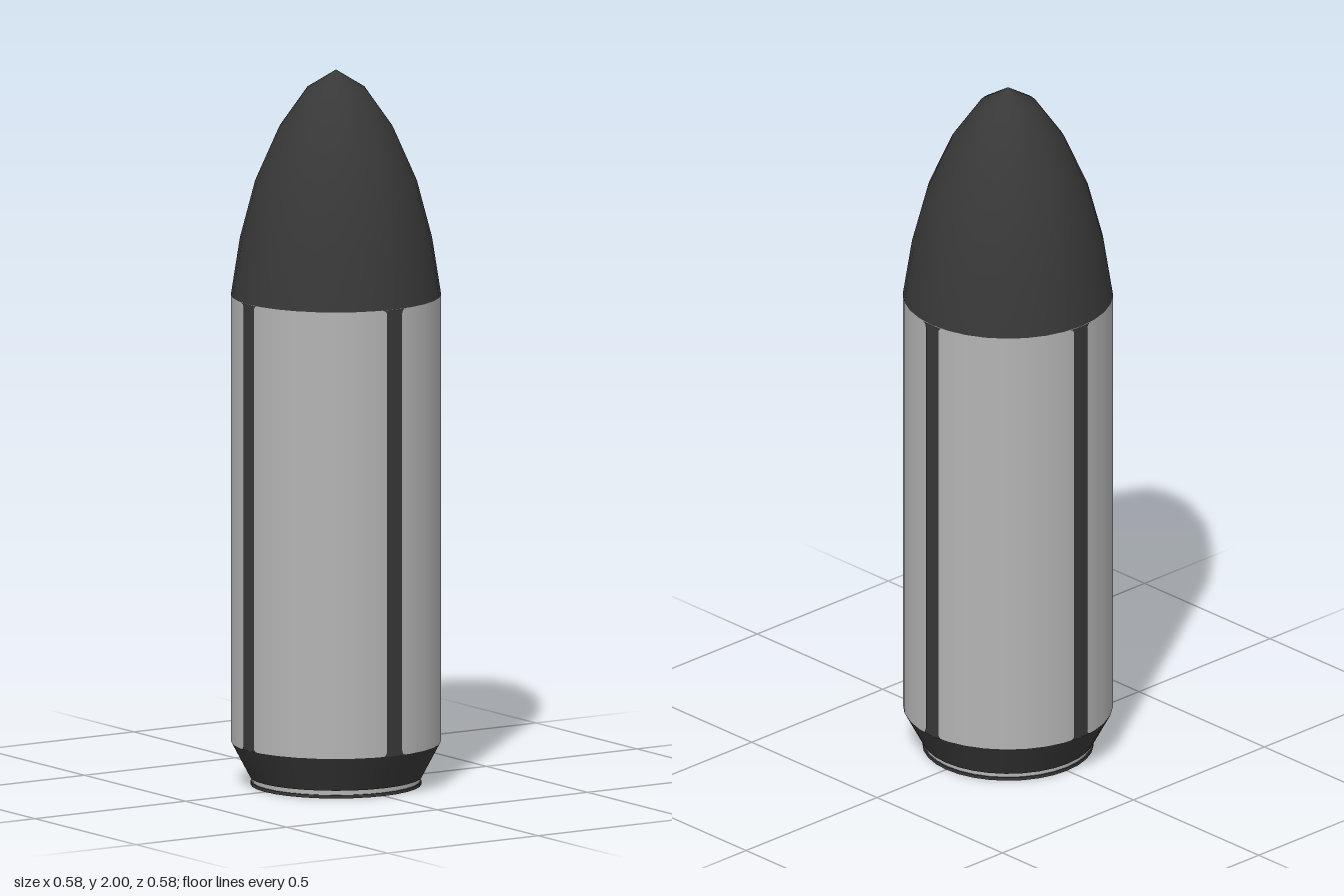
import * as THREE from 'three';
import { mergeGeometries } from 'three/addons/utils/BufferGeometryUtils.js';

const SIDES = 32;
const R = 0.29;
const BODY_LOW = 0.12;
const BODY_TOP = 1.37;

// Smooth turned surface; profile points are [radius, height], bottom to top
function turned(points) {
  return new THREE.LatheGeometry(points.map(([r, y]) => new THREE.Vector2(r, y)), SIDES);
}

// Turned surface with a sharp edge at every profile point
function turnedSharp(points) {
  return mergeGeometries(points.slice(1).map((p, i) => turned([points[i], p])));
}

// Thin curved strip up the body, flaring at both ends into rounded panel corners
function stripGeometry() {
  const half = 0.025, corner = 0.014, rows = 4;
  const levels = [];
  for (let i = 0; i <= rows; i++) {
    const a = (i / rows) * Math.PI / 2;
    levels.push([corner * (1 - Math.cos(a)), half + corner * (1 - Math.sin(a))]);
  }
  const outline = [
    ...levels.map(([d, w]) => [BODY_LOW + d, w]),
    ...levels.reverse().map(([d, w]) => [BODY_TOP - d, w]),
  ];
  const geo = new THREE.PlaneGeometry(2, 1, 4, outline.length - 1);
  const pos = geo.attributes.position;
  for (let i = 0; i < pos.count; i++) {
    const [y, w] = outline[outline.length - 1 - Math.floor(i / 5)];
    const angle = pos.getX(i) * w / R;
    pos.setXYZ(i, Math.sin(angle) * (R + 0.001), y, Math.cos(angle) * (R + 0.001));
    geo.attributes.normal.setXYZ(i, Math.sin(angle), 0, Math.cos(angle));
  }
  return geo;
}

export function createModel() {
  const group = new THREE.Group();
  const dark = new THREE.MeshStandardMaterial({ name: 'charcoal', color: 0x383838 });
  const light = new THREE.MeshStandardMaterial({ name: 'lightGrey', color: 0xb4b4b4 });

  function add(name, geometry, material) {
    const mesh = new THREE.Mesh(geometry, material);
    mesh.name = name;
    group.add(mesh);
    return mesh;
  }

  // Pointed nose
  add('nose', turned([
    [R, BODY_TOP], [0.265, 1.53], [0.223, 1.69], [0.157, 1.84], [0.08, 1.95], [0, 2],
  ]), dark);

  // Straight body, with four dark strips dividing it into panels
  add('body', turned([[R, BODY_LOW], [R, BODY_TOP]]), light);
  const strip = stripGeometry();
  for (let i = 0; i < 4; i++) {
    add('bodyStrip', strip, dark).rotation.y = i * Math.PI / 2;
  }

  // Tapered foot, pale neck ring and dark base rim
  add('taperedFoot', turnedSharp([[0.23, 0.022], [0.238, 0.022], [R, BODY_LOW]]), dark);
  add('neckRing', turned([[0.232, 0.009], [0.232, 0.022]]), light);
  add('baseRim', turnedSharp([[0.21, 0.012], [0.213, 0], [0.236, 0], [0.236, 0.009], [0.232, 0.009]]), dark);

  // Recessed base plate with a round groove
  add('basePlate', turnedSharp([
    [0, 0.012], [0.12, 0.012], [0.126, 0.02], [0.134, 0.012], [0.21, 0.012],
  ]), light);

  return group;
}
